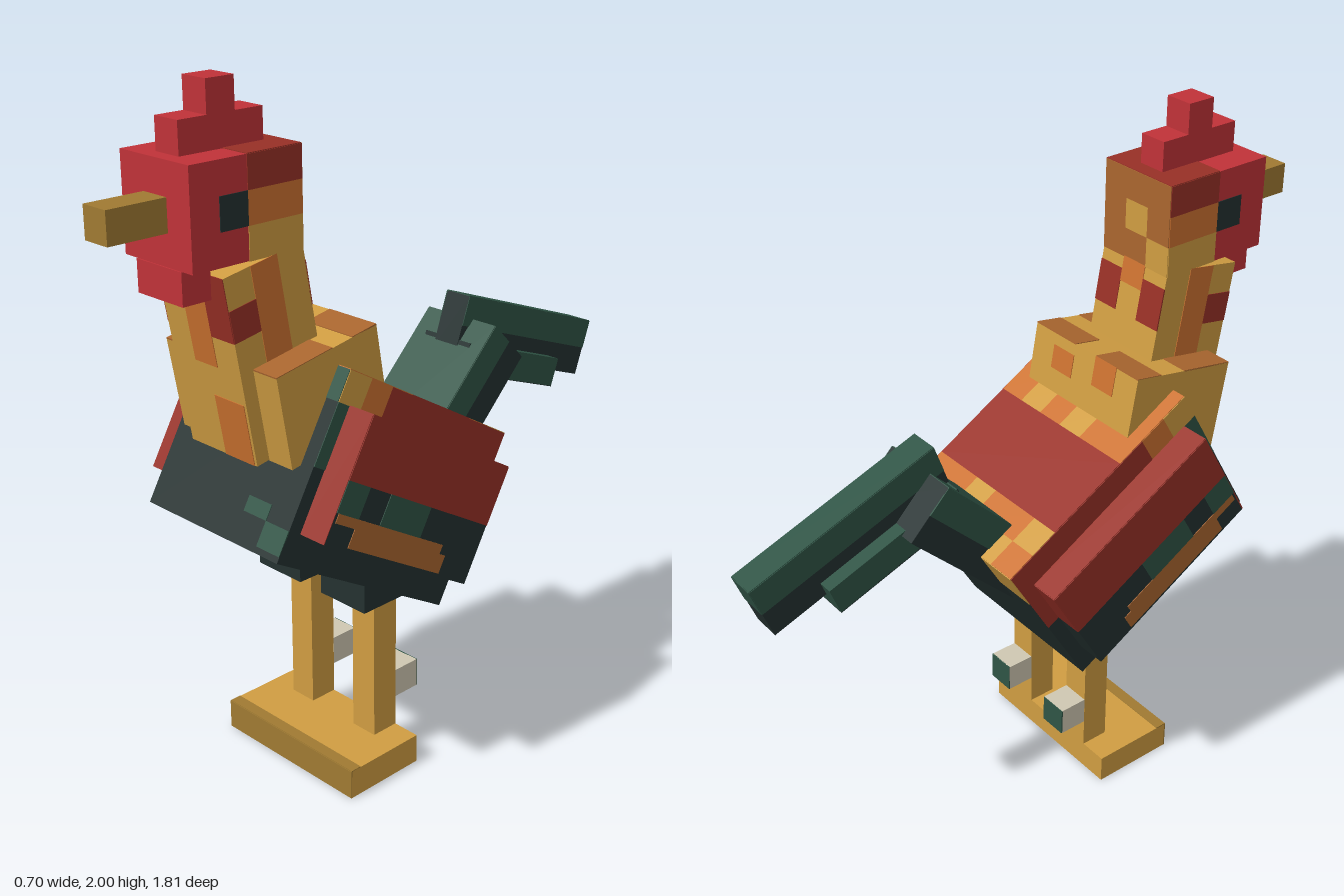
import * as THREE from 'three';

const U = 0.0866; // one block unit
const T = 0.004;  // thickness of painted plates

function material(name, color) {
  const m = new THREE.MeshStandardMaterial({ color });
  m.name = name;
  return m;
}

export function createModel() {
  const red = material('comb red', 0xc03238);
  const maroon = material('maroon', 0x983026);
  const orange = material('orange', 0xcc7230);
  const brown = material('brown', 0xaa662f);
  const yellow = material('yellow', 0xd09d42);
  const gold = material('dark gold', 0xa07a32);
  const green = material('green', 0x2f5445);
  const slate = material('slate', 0x243130);
  const bone = material('bone', 0xcfc8b2);

  const model = new THREE.Group();
  model.name = 'rooster';

  // A block sized in units, with patches [face, a0, b0, a1, b1, material].
  // a and b count units from the low corner: z,y on x faces; x,z on y faces; x,y on z faces.
  // Face 'x' paints both sides.
  function block(name, size, pos, tilt, mat, patches = []) {
    const group = new THREE.Group();
    group.name = name;
    const s = size.map((v) => v * U);
    const core = new THREE.Mesh(new THREE.BoxGeometry(...s), mat);
    core.name = name + 'Core';
    group.add(core);
    for (const [face, a0, b0, a1, b1, paint] of patches) {
      const axis = 'xyz'.indexOf(face[0]);
      const [a, b] = [[2, 1], [0, 2], [0, 1]][axis];
      const signs = face.length === 1 ? [1, -1] : [face[1] === '+' ? 1 : -1];
      for (const sign of signs) {
        const dim = [T, T, T];
        dim[a] = (a1 - a0) * U;
        dim[b] = (b1 - b0) * U;
        const at = [0, 0, 0];
        at[axis] = sign * s[axis] / 2;
        at[a] = (a0 + a1) / 2 * U - s[a] / 2;
        at[b] = (b0 + b1) / 2 * U - s[b] / 2;
        const plate = new THREE.Mesh(new THREE.BoxGeometry(...dim), paint);
        plate.name = name + 'Patch';
        plate.position.set(...at);
        group.add(plate);
      }
    }
    group.position.set(...pos);
    group.rotation.x = THREE.MathUtils.degToRad(tilt);
    model.add(group);
    return group;
  }

  // Body, chest pointing up
  block('body', [6, 6, 8], [0, 0.875, 0.179], -30, slate, [
    ['x', 0, 3, 6, 6, maroon],
    ['x', 6, 5, 7, 6, orange],
    ['x', 7, 5, 8, 6, yellow],
    ['x', 6, 3, 8, 5, green],
    ['y+', 0, 0, 1, 1, orange],
    ['y+', 1, 0, 2, 1, yellow],
    ['y+', 2, 0, 5, 1, orange],
    ['y+', 5, 0, 6, 1, yellow],
    ['y+', 0, 1, 1, 2, yellow],
    ['y+', 1, 1, 3, 2, orange],
    ['y+', 3, 1, 4, 2, yellow],
    ['y+', 4, 1, 6, 2, orange],
    ['y+', 0, 2, 6, 5, maroon],
    ['y+', 0, 5, 2, 6, orange],
    ['y+', 2, 5, 3, 6, yellow],
    ['y+', 3, 5, 4, 6, orange],
    ['y+', 4, 5, 5, 6, yellow],
    ['y+', 5, 5, 6, 6, orange],
    ['y+', 0, 6, 6, 8, orange],
    ['z+', 4, 1, 5, 1.5, green],
    ['z+', 5, 0.2, 6, 1, green],
    ['z+', 5.4, 5, 6, 6, green],
    ['z-', 0, 4.5, 1.5, 6, yellow],
  ]);

  // Wings: maroon shoulder, green middle row, brown lower row
  for (const side of [1, -1]) {
    const out = side > 0 ? 'x+' : 'x-';
    block(side > 0 ? 'leftWing' : 'rightWing', [1, 4, 7], [side * 3.5 * U, 0.875, 0.178], -30, slate, [
      [out, 0, 2, 7, 4, maroon],
      [out, 6, 1, 7, 2, green],
      [out, 3, 1, 5, 2, green],
      [out, 1.8, 0.7, 6.9, 1, brown],
      [out, 1.5, 0.1, 6, 0.7, brown],
      ['y+', 0, 0, 1, 7, maroon],
      ['z+', 0, 0, 1, 4, maroon],
      ['z-', 0, 2, 1, 4, maroon],
    ]);
  }

  // Ruff and neck, leaning forward
  block('ruff', [5, 3, 4], [0, 1.193, 0.364], 10, yellow, [
    ['y+', 0, 0, 2, 1, brown],
    ['y+', 3, 0, 5, 1, brown],
    ['y+', 0, 2, 1.5, 4, brown],
    ['y+', 3.5, 1.8, 5, 4, brown],
    ['z-', 1, 2, 2, 3, orange],
    ['z-', 3, 1.8, 4, 2.6, orange],
  ]);
  block('neck', [3, 6, 3], [0, 1.309, 0.47], 10, yellow, [
    ['x', 2, 4, 3, 5, maroon],
    ['x', 1, 3, 2, 6, orange],
    ['z+', 1, 3, 2, 6, orange],
    ['z+', 2, 4, 3, 6, maroon],
    ['z+', 1.6, 0, 2.9, 2, orange],
    ['z-', 0, 4, 1, 5.4, maroon],
    ['z-', 2, 4, 3, 5.4, maroon],
    ['z-', 1, 5, 2, 6, orange],
  ]);

  // Head with plumage at the back and an eye on each side
  block('head', [3, 3, 4], [0, 1.70, 0.558], 0, red, [
    ['x', 0, 2, 2, 3, maroon],
    ['x', 0, 1, 2, 2, orange],
    ['x', 0, 0, 2, 1, yellow],
    ['x', 2, 1, 3, 2, slate],
    ['y+', 0, 0, 3, 2, maroon],
    ['y-', 0, 0, 3, 2, yellow],
    ['z-', 0, 2, 3, 3, brown],
    ['z-', 0, 1, 1, 2, brown],
    ['z-', 1, 1, 2, 2, yellow],
    ['z-', 2, 1, 3, 2, brown],
    ['z-', 0, 0, 1, 1, yellow],
    ['z-', 1, 0, 3, 1, brown],
  ]);
  block('beak', [1, 1, 2], [0, 1.698, 0.818], 0, gold);
  block('wattle', [2, 1, 1], [0, 1.525, 0.688], 0, red);
  block('combBase', [1, 1, 3], [0, 1.872, 0.56], 0, red);
  block('combTip', [1, 1, 1], [0, 1.957, 0.56], 0, red);

  // Tail: rising base, then two drooping plumes
  block('tailBase', [3, 2, 6], [0, 0.946, -0.229], 45, slate, [
    ['x', 0, 1, 6, 2, green],
    ['y+', 0, 0, 3, 6, green],
  ]);
  block('tailPlumeWide', [2, 1, 5], [0, 1.027, -0.483], -20, green, [
    ['y-', 0, 0, 2, 5, slate],
    ['z+', 0, 0, 2, 1, slate],
  ]);
  block('tailPlumeLong', [1, 2, 7], [0, 1.08, -0.59], -20, slate, [
    ['x', 0, 1, 7, 2, green],
    ['y+', 0, 0, 1, 7, green],
    ['z-', 0, 1, 1, 2, green],
  ]);

  // Thighs, legs and spurs
  for (const side of [1, -1]) {
    const prefix = side > 0 ? 'left' : 'right';
    const x = side * 1.5 * U;
    block(prefix + 'Thigh', [2, 3, 2], [x, 0.66, 0.175], 0, slate);
    block(prefix + 'Leg', [1, 5.2, 1], [x, 0.31, 0.138], 0, yellow);
    block(prefix + 'Spur', [1, 1, 1], [x, 0.222, 0.051], 0, bone, [
      ['z-', 0, 0, 1, 1, green],
    ]);
  }

  // Single foot plate with dark gold toes
  block('feet', [6, 1, 3], [0, U / 2, 0.225], 0, yellow, [
    ['z+', 0, 0, 6, 1, gold],
    ['y+', 0, 2.6, 6, 3, gold],
  ]);

  return model;
}
